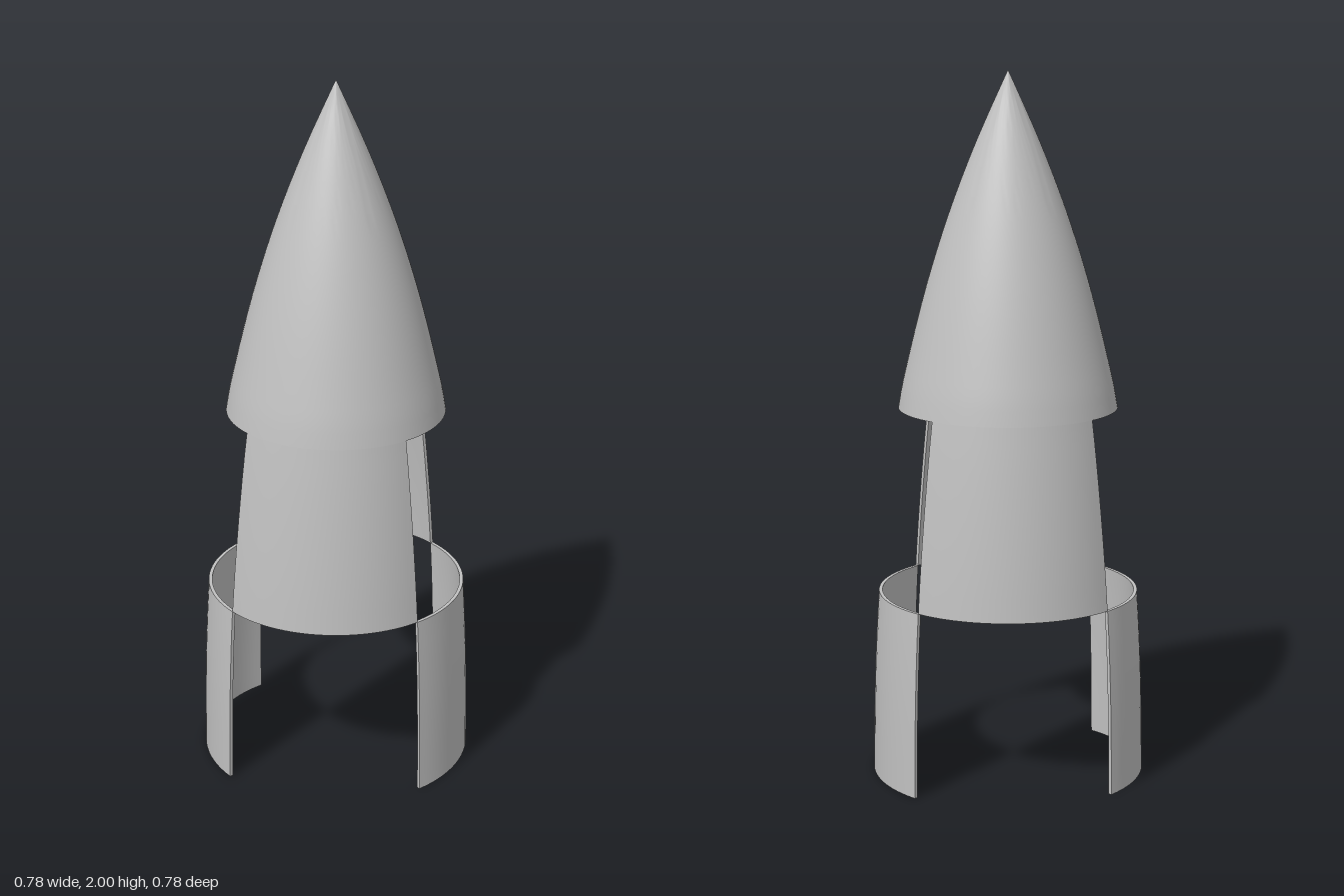
import * as THREE from 'three';
import { toCreasedNormals } from 'three/addons/utils/BufferGeometryUtils.js';

const HEIGHT = 2, LOW = 0.53, MID = 1.06, WALL = 0.01;

// Outer radius at a given height: a pointed ogive
const curve = new THREE.SplineCurve([
  [0.39, 0], [0.384, 0.27], [0.37, LOW], [0.344, 0.8], [0.31, MID], [0.281, 1.2],
  [0.23, 1.4], [0.167, 1.6], [0.09, 1.8], [0, HEIGHT],
].map(([r, y]) => new THREE.Vector2(r, y)));
const SPANS = 9;

// Closed wall profile between two knots of the curve
function wallProfile(from, to) {
  const outer = [];
  const steps = (to - from) * 4;
  for (let i = 0; i <= steps; i++) {
    outer.push(curve.getPoint((from + (to - from) * i / steps) / SPANS));
  }
  const pointed = to === SPANS;
  if (pointed) outer[steps].x = 0;
  const inner = outer
    .filter((p) => !pointed || p.x > WALL * 1.5)
    .map((p) => new THREE.Vector2(p.x - WALL, p.y))
    .reverse();
  if (pointed) inner.unshift(new THREE.Vector2(0, HEIGHT - 0.03));
  return [...outer, ...inner];
}

export function createModel() {
  const model = new THREE.Group();
  model.name = 'splitOgiveShell';
  const grey = new THREE.MeshStandardMaterial({ color: 0xc0c0c0, side: THREE.DoubleSide });
  grey.name = 'grey';

  function addShell(name, from, to, start, sweep) {
    const profile = wallProfile(from, to);
    const part = new THREE.Group();
    part.name = name;
    const loop = [...profile, profile[0].clone()];
    const segments = Math.round(96 * sweep / (Math.PI * 2));
    const wall = new THREE.Mesh(
      toCreasedNormals(new THREE.LatheGeometry(loop, segments, start, sweep), 0.6), grey);
    wall.name = name + 'Wall';
    part.add(wall);
    // Cut faces at both ends of a partial sweep
    if (sweep < Math.PI * 2) {
      for (const angle of [start, start + sweep]) {
        const cap = new THREE.Mesh(new THREE.ShapeGeometry(new THREE.Shape(profile)), grey);
        cap.rotation.y = angle - Math.PI / 2;
        cap.name = name + 'CutFace';
        part.add(cap);
      }
    }
    model.add(part);
  }

  const quarter = Math.PI / 2;
  // Full pointed nose
  addShell('noseCone', 4, SPANS, 0, Math.PI * 2);
  // Opposite quarter panels, alternating between the two tiers
  addShell('middlePanelFrontLeft', 2, 4, 0, quarter);
  addShell('middlePanelBackRight', 2, 4, Math.PI, quarter);
  addShell('lowerPanelBackLeft', 0, 2, quarter, quarter);
  addShell('lowerPanelFrontRight', 0, 2, 3 * quarter, quarter);
  return model;
}
